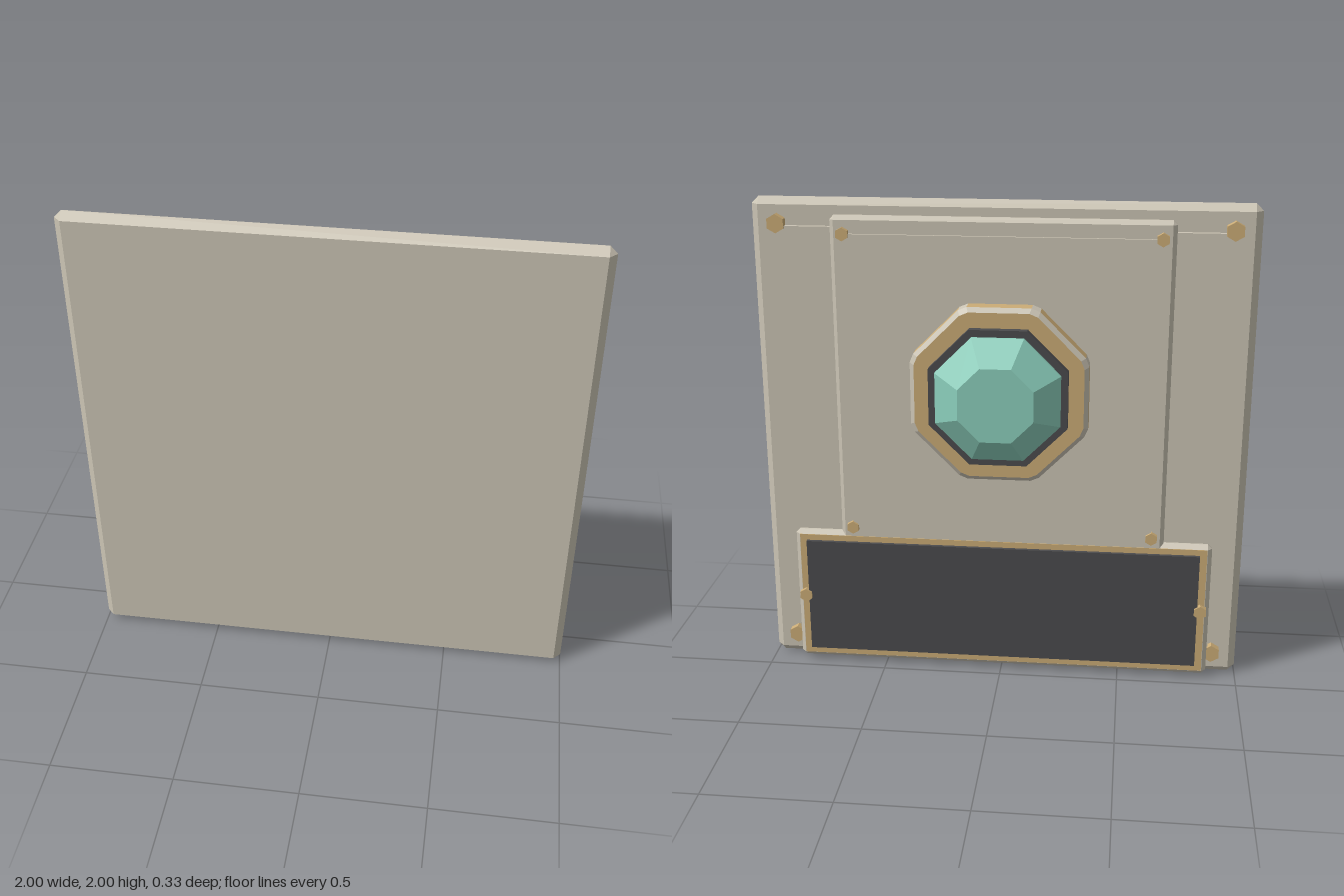
import * as THREE from 'three';
import { ConvexGeometry } from 'three/addons/geometries/ConvexGeometry.js';

function material(name, color) {
  const m = new THREE.MeshStandardMaterial({ color, flatShading: true });
  m.name = name;
  return m;
}

// Box with every edge cut at 45 degrees
function chamferBox(w, h, d, b) {
  const pts = [];
  for (const i of [-1, 1]) for (const j of [-1, 1]) for (const k of [-1, 1]) {
    const x = w / 2, y = h / 2, z = d / 2;
    pts.push(
      new THREE.Vector3(i * x, j * (y - b), k * (z - b)),
      new THREE.Vector3(i * (x - b), j * y, k * (z - b)),
      new THREE.Vector3(i * (x - b), j * (y - b), k * z));
  }
  return new ConvexGeometry(pts);
}

// Prism pointing to -z, wide end at +z; flat sides up when turned half a step
function prism(rBack, rFront, depth, sides, flatUp) {
  const g = new THREE.CylinderGeometry(rBack, rFront, depth, sides);
  if (flatUp) g.rotateY(Math.PI / sides);
  return g.rotateX(-Math.PI / 2);
}

// Octagonal bezel with cut corners: group 0 = sides and cap, group 1 = bevels
function bezelGeometry(apothem, z0, z1, z2, cut) {
  const loop = (a, z) => {
    const t = a * Math.tan(Math.PI / 8), pts = [];
    for (let i = 0; i < 8; i++) for (const s of [-1, 1]) {
      const v = new THREE.Vector3(a, s * (t - cut), z);
      pts.push(v.applyAxisAngle(new THREE.Vector3(0, 0, 1), i * Math.PI / 4));
    }
    return pts;
  };
  const A = loop(apothem, z0), B = loop(apothem, z1), C = loop(apothem - 0.018, z2);
  const main = [], trim = [];
  const quad = (list, p, q, i, n) => list.push(p[i], q[i], q[n], p[i], q[n], p[n]);
  const centre = new THREE.Vector3(0, 0, z2);
  for (let i = 0; i < 16; i++) {
    const n = (i + 1) % 16;
    quad(i % 2 ? trim : main, A, B, i, n);
    quad(trim, B, C, i, n);
    main.push(centre, C[n], C[i]);
  }
  const g = new THREE.BufferGeometry().setFromPoints([...main, ...trim]);
  g.addGroup(0, main.length, 0);
  g.addGroup(main.length, trim.length, 1);
  g.computeVertexNormals();
  return g;
}

export function createModel() {
  const model = new THREE.Group();
  model.name = 'wallPanel';
  const stone = material('stone', 0xcbc4b4);
  const gold = material('gold', 0xcbac76);
  const dark = material('charcoal', 0x4b4b4d);
  const gem = material('seaGreen', 0x8ccfbc);

  const add = (name, geometry, mat, x, y, z) => {
    const mesh = new THREE.Mesh(geometry, mat);
    mesh.name = name;
    mesh.position.set(x, y, z);
    model.add(mesh);
  };
  // Part given by its y range and z range, centred on x
  const plate = (name, mat, w, y0, y1, z0, z1, bevel = 0) => {
    const h = y1 - y0, d = z1 - z0;
    const g = bevel ? chamferBox(w, h, d, bevel) : new THREE.BoxGeometry(w, h, d);
    add(name, g, mat, 0, (y0 + y1) / 2, (z0 + z1) / 2);
  };
  const bolts = (name, r, depth, x, ys, z) => {
    for (const y of ys) for (const s of [-1, 1])
      add(name, prism(r, r, depth, 6, false), gold, s * x, y, z);
  };

  // Main slab and its raised field
  plate('slab', stone, 2, 0, 2, 0.107, 0.167, 0.029);
  plate('slabField', stone, 1.76, 0.11, 1.89, 0.085, 0.11);
  bolts('slabBolt', 0.038, 0.034, 0.895, [1.9, 0.105], 0.091);

  // Upper plate
  plate('upperPlate', stone, 1.35, 0.565, 1.94, 0.053, 0.097, 0.017);
  plate('upperField', stone, 1.24, 0.635, 1.87, 0.042, 0.056);
  bolts('upperBolt', 0.027, 0.026, 0.622, [1.87, 0.638], 0.045);

  // Lower panel with gold border and dark inlay
  plate('lowerPanel', stone, 1.75, 0.015, 0.61, 0.053, 0.096, 0.018);
  plate('inlayBorder', gold, 1.71, 0.035, 0.592, 0.05, 0.056);
  plate('inlay', dark, 1.65, 0.065, 0.567, 0.035, 0.052);
  bolts('panelBolt', 0.029, 0.03, 0.837, [0.317], 0.042);

  // Medallion: bezel, dark seat and cut gem
  const cy = 1.252, k = 1 / Math.cos(Math.PI / 8);
  add('bezel', bezelGeometry(0.355, 0.044, -0.02, -0.037, 0.02), [gold, stone], 0, cy, 0);
  add('gemSeat', prism(0.276 * k, 0.276 * k, 0.034, 8, true), dark, 0, cy, -0.052);
  add('gemGirdle', prism(0.248 * k, 0.248 * k, 0.014, 8, true), gem, 0, cy, -0.075);
  add('gemCrown', prism(0.148 * k, 0.248 * k, 0.085, 8, true), gem, 0, cy, -0.1245);
  return model;
}
